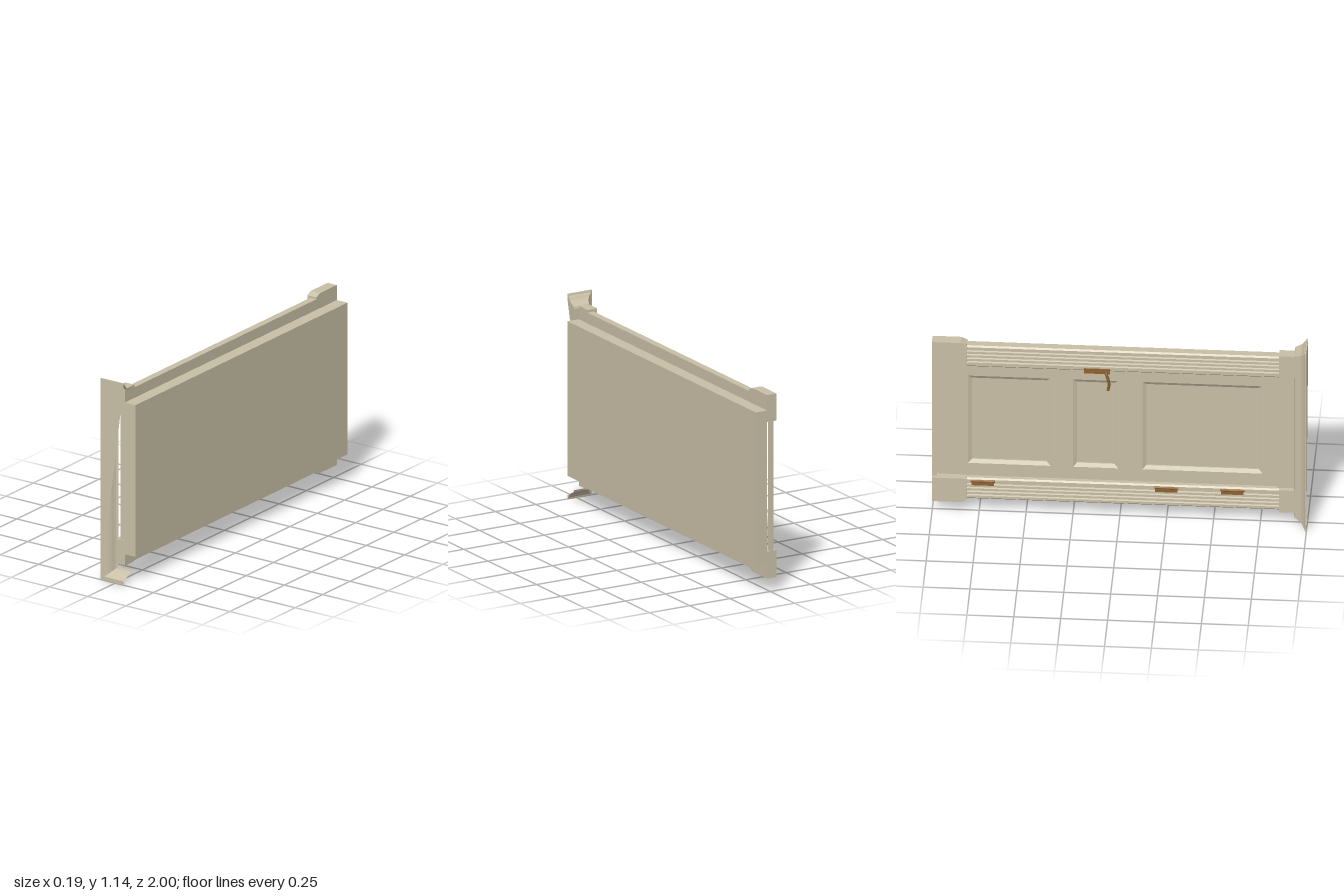
import * as THREE from 'three';

const paint = new THREE.MeshStandardMaterial({ color: 0xc8bfa6, side: THREE.DoubleSide, flatShading: true });
const brass = new THREE.MeshStandardMaterial({ color: 0x8f6230 });

export function createModel() {
  const group = new THREE.Group();
  const add = (name, geometry, material = paint) => {
    const mesh = new THREE.Mesh(geometry, material);
    mesh.name = name;
    group.add(mesh);
    return mesh;
  };
  // Box given by its limits on each axis
  const box = (name, x0, x1, y0, y1, z0, z1, material) =>
    add(name, new THREE.BoxGeometry(x1 - x0, y1 - y0, z1 - z0), material)
      .position.set((x0 + x1) / 2, (y0 + y1) / 2, (z0 + z1) / 2);
  const rect = (Type, u0, u1, v0, v1) => new Type([
    new THREE.Vector2(u0, v0), new THREE.Vector2(u1, v0),
    new THREE.Vector2(u1, v1), new THREE.Vector2(u0, v1)]);

  // Solid backing behind the door
  box('backing', 0.02, 0.09, 0.15, 1.01, -1, 0.94);

  // Door leaf with three openings, edges sloping in to the recessed panels
  const openings = [[-0.81, -0.37], [-0.25, -0.01], [0.12, 0.76]];
  const leaf = rect(THREE.Shape, -0.96, 0.84, 0.2, 0.96);
  openings.forEach(([a, b]) => leaf.holes.push(rect(THREE.Path, a, b, 0.3, 0.86)));
  const leafGeometry = new THREE.ExtrudeGeometry(leaf, {
    depth: 0.006, bevelThickness: 0.012, bevelSize: 0.02, bevelSegments: 1 });
  leafGeometry.rotateY(-Math.PI / 2);
  add('doorLeaf', leafGeometry).position.x = 0.02;

  // Fluted side casings, extruded along z
  const casing = new THREE.Shape();
  casing.moveTo(0.02, 0.09);
  casing.lineTo(-0.02, 0.09);
  casing.lineTo(-0.028, 0.098);
  for (let i = 0; i < 4; i++) {
    const y = 0.112 + i * 0.023;
    casing.lineTo(-0.028, y);
    casing.lineTo(-0.02, y + 0.004);
    casing.lineTo(-0.02, y + 0.01);
    casing.lineTo(-0.028, y + 0.014);
  }
  casing.lineTo(-0.028, 0.215);
  casing.lineTo(-0.02, 0.223);
  casing.lineTo(0.02, 0.223);
  casing.closePath();
  const casingGeometry = new THREE.ExtrudeGeometry(casing, { depth: 1.7, bevelEnabled: false });
  for (const side of [-1, 1]) {
    const mesh = add('sideCasing', casingGeometry);
    mesh.position.set(0, side < 0 ? 0 : 1.16, -0.84);
    mesh.scale.y = -side;

    // Plinth with a sloped shoulder, and a capital block at the far end
    const plinth = new THREE.Shape([[-1, 0.075], [-0.845, 0.075], [-0.815, 0.09],
      [-0.815, 0.225], [-1, 0.225]].map(p => new THREE.Vector2(...p)));
    const plinthGeometry = new THREE.ExtrudeGeometry(plinth, { depth: 0.06, bevelEnabled: false });
    plinthGeometry.rotateY(-Math.PI / 2);
    const block = add('plinth', plinthGeometry);
    block.position.set(0.02, side < 0 ? 0 : 1.17, 0);
    block.scale.y = -side;
    const y = side < 0 ? 0.15 : 1.01;
    box('capital', -0.04, 0.02, y - 0.065, y + 0.075, 0.85, 0.935);
  }

  // Cross pieces closing the two ends
  box('headCasing', -0.015, 0.02, 0.2, 0.96, 0.84, 0.93);
  box('threshold', -0.02, 0.0, 0.2, 0.96, -1, -0.975);

  // Flared cornice: a moulding carried round three sides and open toward +x
  const profile = [[0, 0.93], [0.012, 0.935], [0.018, 0.945], [0.025, 0.96],
    [0.036, 0.974], [0.052, 0.985], [0.056, 0.99], [0.067, 0.993], [0.067, 1]];
  const positions = [];
  const ring = ([d, z]) => [[0.055, 0.067 - d, z], [-0.028 - d, 0.067 - d, z],
    [-0.028 - d, 1.075 + d, z], [0.055, 1.075 + d, z]];
  for (let i = 0; i < profile.length - 1; i++) {
    const a = ring(profile[i]), b = ring(profile[i + 1]);
    for (let j = 0; j < 3; j++) {
      positions.push(...a[j], ...b[j + 1], ...b[j], ...a[j], ...a[j + 1], ...b[j + 1]);
    }
  }
  const cornice = new THREE.BufferGeometry();
  cornice.setAttribute('position', new THREE.Float32BufferAttribute(positions, 3));
  cornice.computeVertexNormals();
  add('cornice', cornice);

  // Partly open end face of the cornice
  const cap = new THREE.Shape([[-0.095, 0], [0.055, 0], [0.055, 0.022], [-0.07, 0.022],
    [-0.07, 0.16], [0.055, 1.12], [0.055, 1.142], [-0.095, 1.142]].map(p => new THREE.Vector2(...p)));
  add('corniceFace', new THREE.ShapeGeometry(cap)).position.z = 1;

  // Hinges
  for (const z of [-0.73, 0.25, 0.6]) {
    box('hingeLeaf', -0.031, -0.026, 0.18, 0.205, z - 0.06, z + 0.06, brass);
    const pin = add('hingePin', new THREE.CylinderGeometry(0.006, 0.006, 0.13, 10), brass);
    pin.rotation.x = Math.PI / 2;
    pin.position.set(-0.03, 0.207, z);
  }

  // Lever handle on its plate
  box('handlePlate', -0.033, -0.026, 0.925, 0.955, -0.19, -0.05, brass);
  const lever = new THREE.CatmullRomCurve3([[-0.03, 0.94, -0.07], [-0.052, 0.94, -0.07],
    [-0.056, 0.91, -0.06], [-0.054, 0.87, -0.055], [-0.052, 0.835, -0.06]]
    .map(p => new THREE.Vector3(...p)));
  add('handleLever', new THREE.TubeGeometry(lever, 20, 0.008, 8), brass);

  return group;
}
